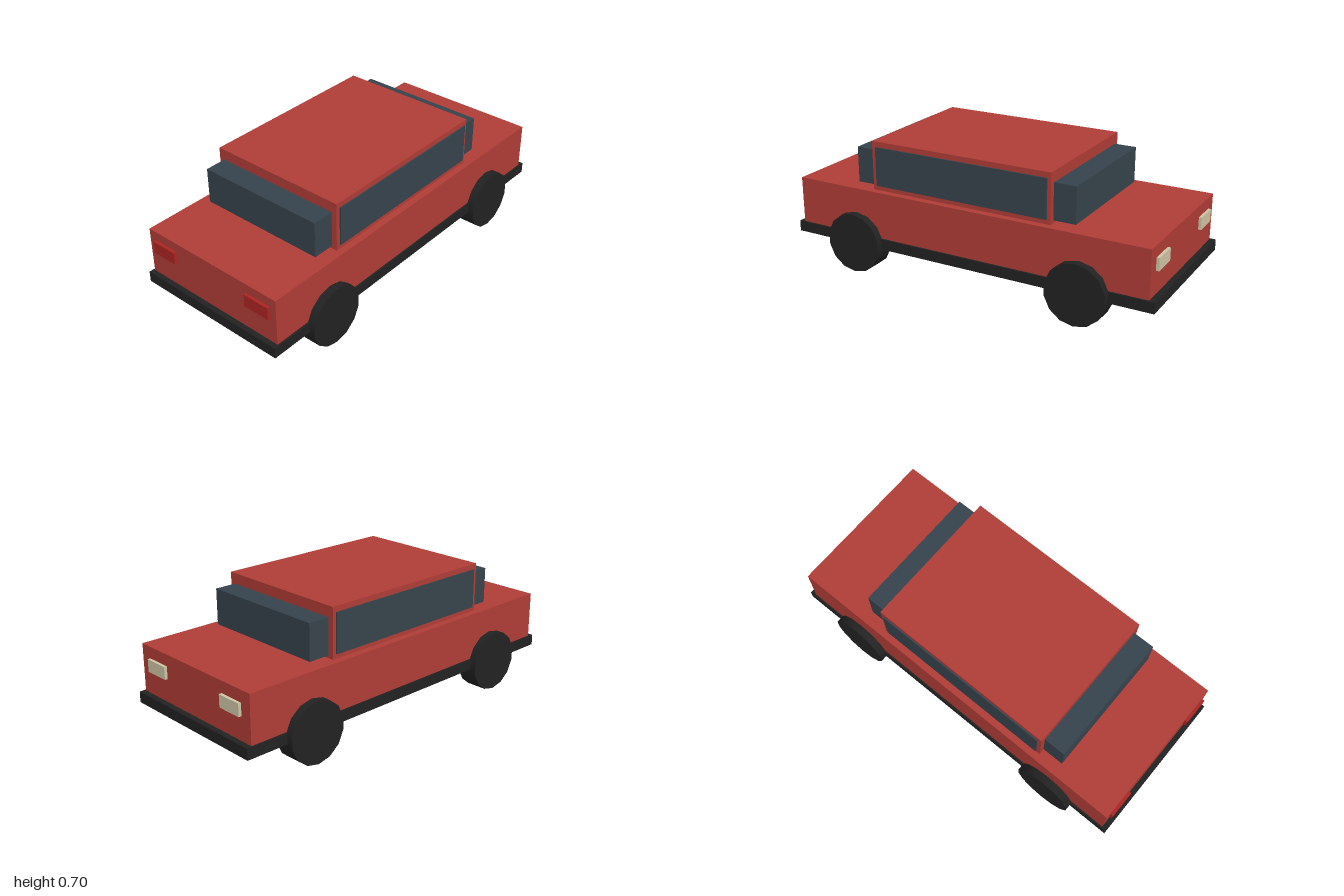
import * as THREE from 'three';

const mat = (name, color) => {
  const m = new THREE.MeshStandardMaterial({ color });
  m.name = name;
  return m;
};

export function createModel() {
  const paint = mat('red paint', 0xb03c36);
  const glass = mat('dark glass', 0x36434c);
  const rubber = mat('black rubber', 0x222222);
  const lamp = mat('cream lamp', 0xcfc4a4);
  const tail = mat('red lamp', 0xac2424);

  const car = new THREE.Group();
  car.name = 'car';

  // Box given by its minimum and maximum on each axis
  const box = (name, material, [x0, x1], [y0, y1], [z0, z1]) => {
    const mesh = new THREE.Mesh(new THREE.BoxGeometry(x1 - x0, y1 - y0, z1 - z0), material);
    mesh.position.set((x0 + x1) / 2, (y0 + y1) / 2, (z0 + z1) / 2);
    mesh.name = name;
    car.add(mesh);
  };

  // Chassis, body and cabin; the car drives towards +x
  box('chassis', rubber, [-1, 1], [0.142, 0.198], [-0.417, 0.417]);
  box('body', paint, [-0.973, 0.97], [0.198, 0.442], [-0.408, 0.408]);
  box('cabin', paint, [-0.535, 0.46], [0.442, 0.696], [-0.372, 0.372]);

  // Glass blocks before and behind the cabin
  box('windshield', glass, [0.46, 0.575], [0.456, 0.641], [-0.343, 0.343]);
  box('rearWindow', glass, [-0.648, -0.535], [0.456, 0.641], [-0.343, 0.343]);

  const wheelGeometry = new THREE.CylinderGeometry(0.157, 0.157, 0.11, 14).rotateX(Math.PI / 2);
  for (const side of [1, -1]) {
    const span = (a, b) => (side > 0 ? [a, b] : [-b, -a]);
    box('sideWindow', glass, [-0.514, 0.441], [0.466, 0.668], span(0.371, 0.379));
    box('headlight', lamp, [0.969, 0.985], [0.318, 0.382], span(0.21, 0.347));
    box('taillight', tail, [-0.988, -0.972], [0.328, 0.393], span(0.228, 0.372));

    // Wheels
    for (const x of [-0.625, 0.623]) {
      const wheel = new THREE.Mesh(wheelGeometry, rubber);
      wheel.position.set(x, 0.157, side * 0.394);
      wheel.name = 'wheel';
      car.add(wheel);
    }
  }
  return car;
}
